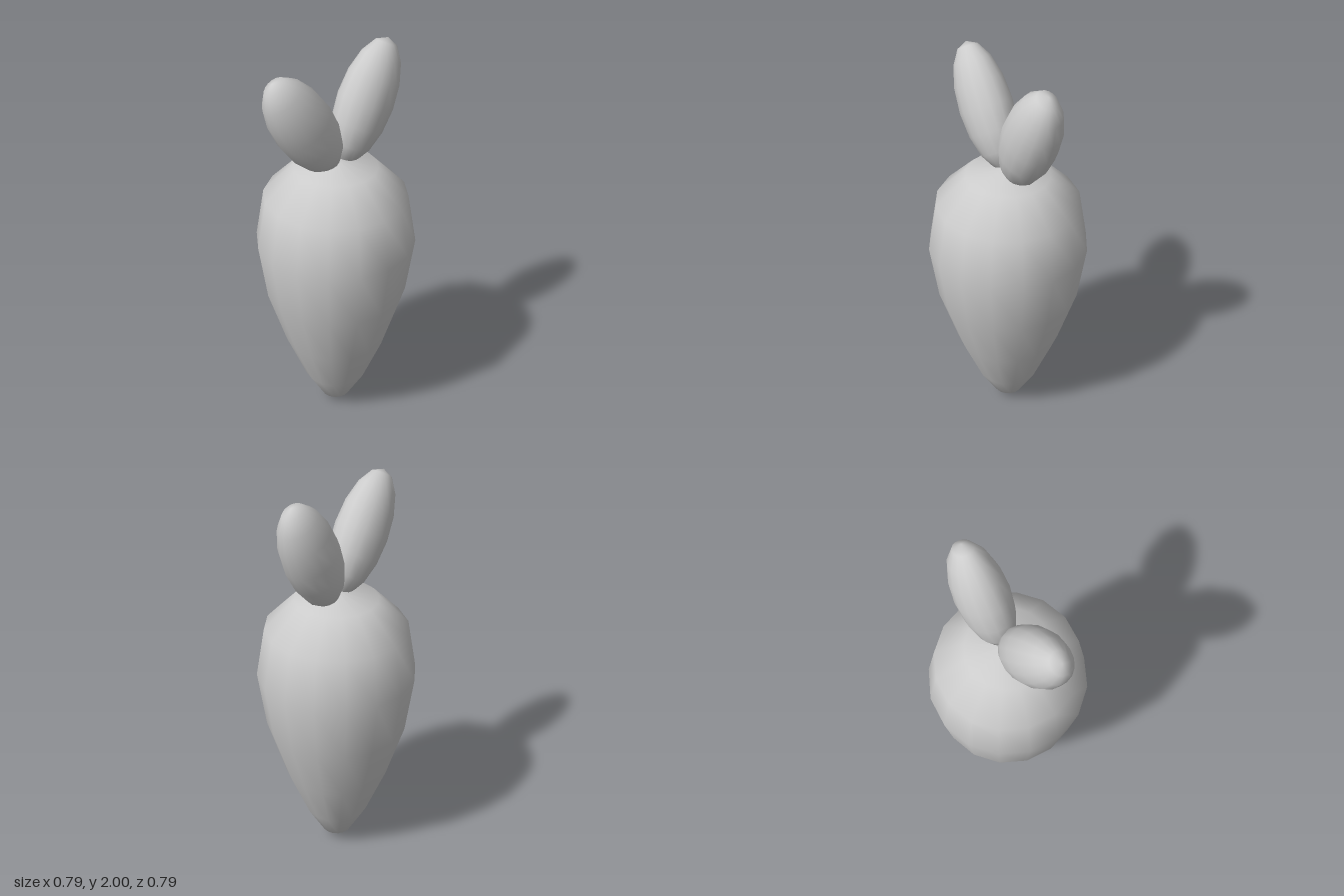
import * as THREE from 'three';

const material = new THREE.MeshStandardMaterial({ color: 0xcccccc });

// Flattened ellipsoid leaf, leaning forward by a tilt in degrees
function makeLeaf(name, y, z, tilt) {
  const geometry = new THREE.SphereGeometry(1, 16, 8);
  geometry.scale(0.125, 0.314, 0.15);
  const leaf = new THREE.Mesh(geometry, material);
  leaf.name = name;
  leaf.position.set(0, y, z);
  leaf.rotation.x = THREE.MathUtils.degToRad(tilt);
  return leaf;
}

export function createModel() {
  const model = new THREE.Group();
  model.name = 'carrot';

  // Tapered root, radius and height from tip to crown
  const profile = [
    [0, 0], [0.073, 0.05], [0.16, 0.2], [0.262, 0.45], [0.353, 0.74],
    [0.394, 1.03], [0.352, 1.28], [0.205, 1.43], [0, 1.472],
  ].map(([r, y]) => new THREE.Vector2(r, y));
  const root = new THREE.Mesh(new THREE.LatheGeometry(profile, 16), material);
  root.name = 'root';
  model.add(root);

  // Two leaves spreading to front and back
  model.add(makeLeaf('frontLeaf', 1.705, 0.19, 33));
  model.add(makeLeaf('backLeaf', 1.715, -0.183, -25.5));

  return model;
}
